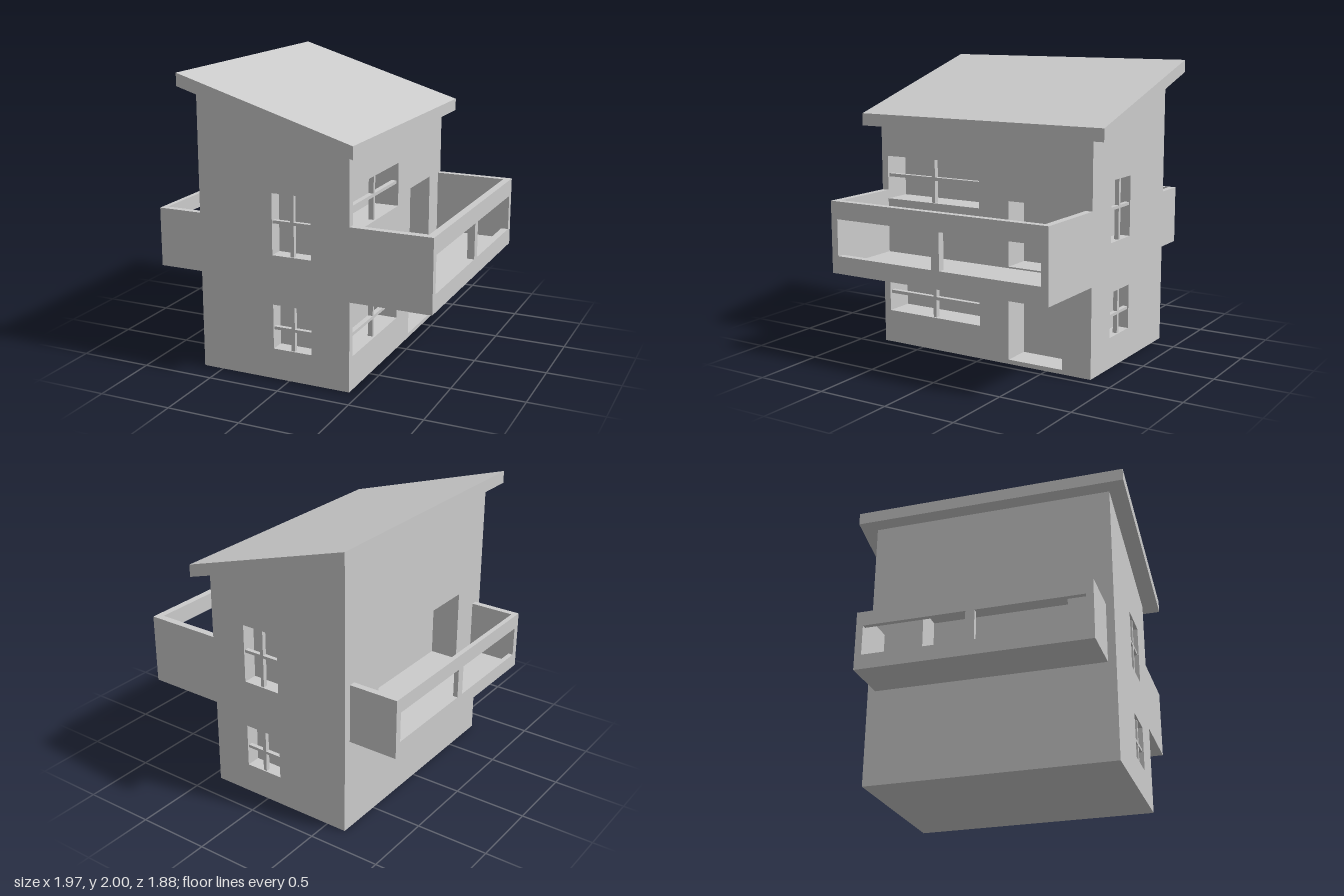
import * as THREE from 'three';

const material = new THREE.MeshStandardMaterial({ color: 0xcccccc, flatShading: true });

// Height of the sloping roof's underside at x
const roofUnder = (x) => 1.915 - 0.302 * (x + 0.715);

function addMesh(parent, geometry, name) {
  const mesh = new THREE.Mesh(geometry, material);
  mesh.name = name;
  parent.add(mesh);
  return mesh;
}

// Box given by its limits on each axis
function addBox(parent, name, [x0, x1], [y0, y1], [z0, z1]) {
  const mesh = addMesh(parent, new THREE.BoxGeometry(x1 - x0, y1 - y0, z1 - z0), name);
  mesh.position.set((x0 + x1) / 2, (y0 + y1) / 2, (z0 + z1) / 2);
  return mesh;
}

function rectangle(PathType, [u0, u1, v0, v1]) {
  return new PathType([[u0, v0], [u1, v0], [u1, v1], [u0, v1]].map(([u, v]) => new THREE.Vector2(u, v)));
}

// Wall with rectangular holes, thickness running along +z
function wallGeometry(outline, holes, depth) {
  const shape = rectangle(THREE.Shape, outline);
  shape.holes = holes.map((hole) => rectangle(THREE.Path, hole));
  return new THREE.ExtrudeGeometry(shape, { depth, bevelEnabled: false });
}

// Wall facing along x; its outline and holes are given as z0, z1, y0, y1
function sideWallGeometry(outline, holes, x, depth) {
  const flip = ([z0, z1, y0, y1]) => [-z1, -z0, y0, y1];
  return wallGeometry(flip(outline), holes.map(flip), depth).rotateY(Math.PI / 2).translate(x, 0, 0);
}

// Raise the top corners of a wall to meet the sloping roof
function slopeTop(geometry) {
  const p = geometry.attributes.position;
  for (let i = 0; i < p.count; i++) {
    if (p.getY(i) > 1.5) p.setY(i, roofUnder(p.getX(i)) + 0.01);
  }
  geometry.computeVertexNormals();
  return geometry;
}

// Balcony: floor, two end walls and a parapet with two long openings
function addBalcony(parent, name, o) {
  const group = new THREE.Group();
  group.name = name;
  parent.add(group);
  const { inner, outer, y0, y1, halfZ, thick, end, openings } = o;
  const side = Math.sign(outer);
  const span = [inner, outer - side * thick].sort((a, b) => a - b);
  addBox(group, 'balconyFloor', span, [y0, y0 + o.floor], [-halfZ + end, halfZ - end]);
  for (const s of [-1, 1]) {
    const z = [s * (halfZ - end), s * halfZ].sort((a, b) => a - b);
    addBox(group, 'balconyEndWall', span, [y0, y1], z);
  }
  const x = side > 0 ? outer - thick : outer;
  addMesh(group, sideWallGeometry([-halfZ, halfZ, y0, y1], openings, x, thick), 'balconyParapet');
}

export function createModel() {
  const house = new THREE.Group();
  house.name = 'house';
  const top = 1.6;

  // Solid core that closes the back of every recess
  const core = new THREE.BoxGeometry(0.67, top, 1.46).translate(-0.105, top / 2, 0);
  addMesh(house, slopeTop(core), 'core');

  // Front and back walls, each with two cross-barred windows
  const gableWindows = [[-0.11, 0.165, 0.21, 0.515], [-0.11, 0.165, 0.85, 1.26]];
  const gableBars = [0.352, 1.07];
  for (const s of [1, -1]) {
    const wall = slopeTop(wallGeometry([-0.44, 0.23, 0, top], gableWindows, 0.1));
    addMesh(house, wall, s > 0 ? 'frontWall' : 'backWall').position.z = s > 0 ? 0.73 : -0.83;
    const barZ = s > 0 ? [0.79, 0.82] : [-0.82, -0.79];
    gableWindows.forEach(([x0, x1, y0, y1], i) => {
      addBox(house, 'windowUpright', [0.015, 0.04], [y0, y1], barZ);
      addBox(house, 'windowCrossbar', [x0, x1], [gableBars[i] - 0.01, gableBars[i] + 0.01], barZ);
    });
  }

  // Left wall with two wide windows and two doorways
  const wideWindows = [[0.02, 0.78, 0.23, 0.53], [0.02, 0.78, 1.04, 1.34]];
  const doorways = [[-0.62, -0.21, 0.03, 0.53], [-0.6, -0.21, 0.67, 1.11]];
  const leftWall = sideWallGeometry([-0.83, 0.83, 0, top], [...wideWindows, ...doorways], 0.23, 0.2);
  addMesh(house, slopeTop(leftWall), 'leftWall');
  wideWindows.forEach(([z0, z1, y0, y1], i) => {
    const y = [0.365, 1.205][i];
    addBox(house, 'windowUpright', [0.38, 0.415], [y0, y1], [0.39, 0.415]);
    addBox(house, 'windowCrossbar', [0.38, 0.415], [y - 0.011, y + 0.011], [z0, z1]);
  });

  // Right wall with one broad recess above its balcony
  const rightWall = sideWallGeometry([-0.83, 0.83, 0, top], [[-0.46, 0.53, 0.7, 1.2]], -0.64, 0.2);
  addMesh(house, slopeTop(rightWall), 'rightWall');

  // Balconies
  addBalcony(house, 'leftBalcony', {
    inner: 0.43, outer: 0.98, y0: 0.61, y1: 1.1, halfZ: 0.83, thick: 0.05, end: 0.05, floor: 0.05,
    openings: [[0.02, 0.78, 0.73, 0.98], [-0.78, -0.04, 0.73, 0.98]],
  });
  addBalcony(house, 'rightBalcony', {
    inner: -0.64, outer: -0.985, y0: 0.65, y1: 1.055, halfZ: 0.777, thick: 0.033, end: 0.045, floor: 0.04,
    openings: [[0.02, 0.73, 0.75, 0.955], [-0.73, -0.04, 0.75, 0.955]],
  });

  // Sloping roof slab
  const profile = new THREE.Shape([[-0.715, 1.915], [0.5, 1.55], [0.5, 1.635], [-0.715, 2]]
    .map(([x, y]) => new THREE.Vector2(x, y)));
  const roof = new THREE.ExtrudeGeometry(profile, { depth: 1.88, bevelEnabled: false });
  addMesh(house, roof, 'roof').position.z = -0.94;

  return house;
}
